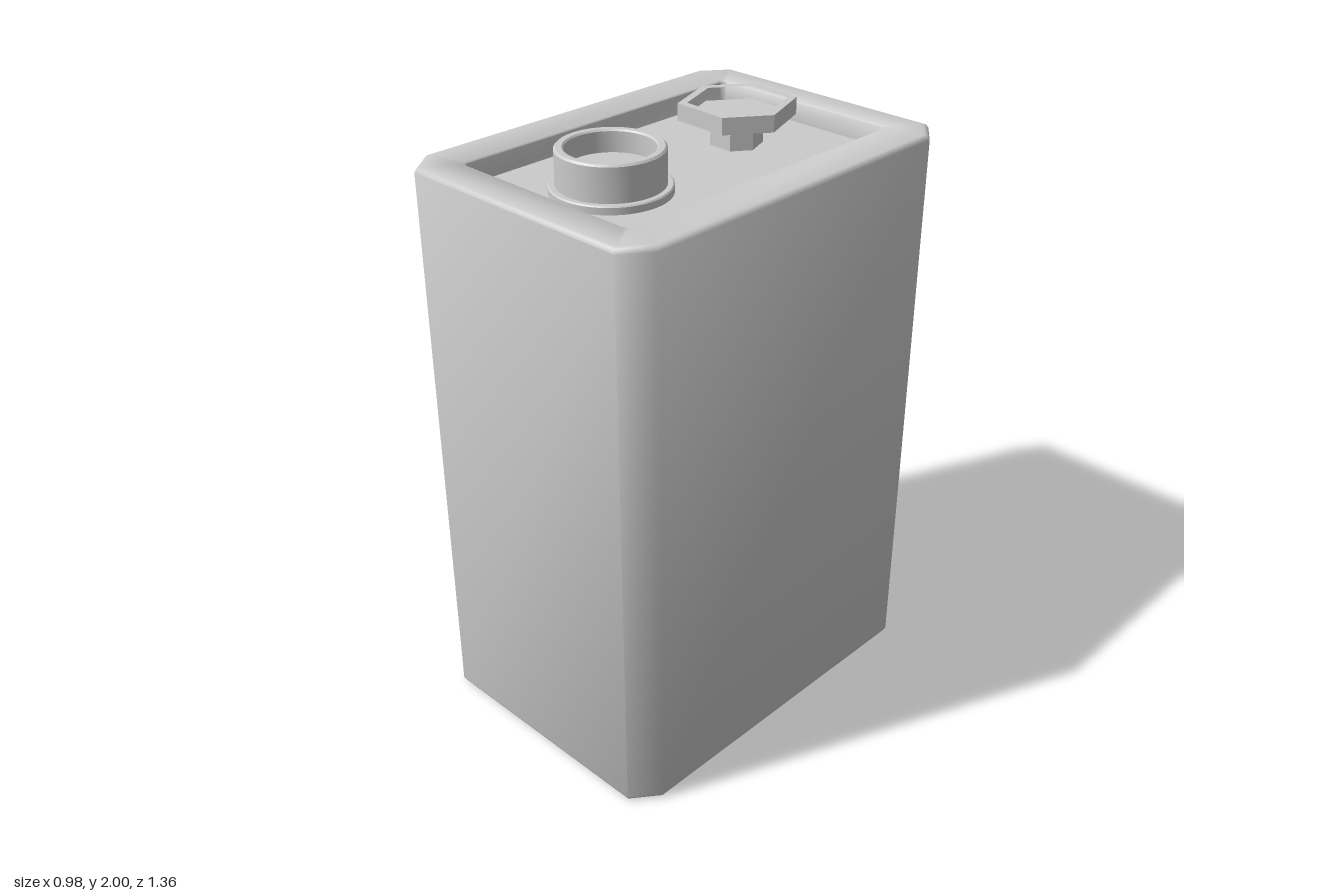
import * as THREE from 'three';
import { toCreasedNormals } from 'three/addons/utils/BufferGeometryUtils.js';

const material = new THREE.MeshStandardMaterial({ color: 0xcccccc });

function addMesh(parent, name, geometry, y = 0) {
  const mesh = new THREE.Mesh(geometry, material);
  mesh.name = name;
  mesh.position.y = y;
  parent.add(mesh);
  return mesh;
}

// Chamfered rectangle, counterclockwise seen from above
function ring(y, w, d, cx, cz) {
  return [
    [w, d - cz], [w, cz - d], [w - cx, -d], [cx - w, -d],
    [-w, cz - d], [-w, d - cz], [cx - w, d], [w - cx, d],
  ].map(([x, z]) => [x, y, z]);
}

// Skin between successive rings, closed at both ends
function loft(rings) {
  const n = rings[0].length, index = [];
  for (let r = 0; r < rings.length - 1; r++) {
    for (let i = 0; i < n; i++) {
      const a = r * n + i, b = r * n + (i + 1) % n;
      index.push(a, b, b + n, a, b + n, a + n);
    }
  }
  const last = (rings.length - 1) * n;
  for (let i = 1; i < n - 1; i++) {
    index.push(0, i + 1, i);
    index.push(last, last + i, last + i + 1);
  }
  const geometry = new THREE.BufferGeometry();
  geometry.setAttribute('position', new THREE.Float32BufferAttribute(rings.flat(2), 3));
  geometry.setIndex(index);
  return toCreasedNormals(geometry, 1.0);
}

// Horizontal plate from an outline of [x, z] points
function plate(points, height, hole) {
  const toVectors = (list) => list.map(([x, z]) => new THREE.Vector2(x, -z));
  const shape = new THREE.Shape(toVectors(points));
  if (hole) shape.holes.push(new THREE.Path(toVectors(hole)));
  const geometry = new THREE.ExtrudeGeometry(shape, { depth: height, bevelEnabled: false });
  return geometry.rotateX(-Math.PI / 2);
}

export function createModel() {
  const model = new THREE.Group();
  model.name = 'battery';
  const floorY = 1.86;

  // Case with softened edges and a recessed top
  addMesh(model, 'case', loft([
    ring(0, 0.475, 0.665, 0.065, 0.085),
    ring(0.004, 0.484, 0.674, 0.068, 0.088),
    ring(0.015, 0.49, 0.68, 0.07, 0.09),
    ring(1.915, 0.49, 0.68, 0.07, 0.09),
    ring(1.926, 0.484, 0.674, 0.068, 0.088),
    ring(1.93, 0.475, 0.665, 0.065, 0.085),
    ring(1.93, 0.35, 0.565, 0.015, 0.015),
    ring(1.925, 0.345, 0.56, 0.013, 0.013),
    ring(floorY, 0.345, 0.56, 0.013, 0.013),
  ]));

  // Round terminal: flange, collar and hollow cup
  const profile = [
    [0, 0], [0.185, 0], [0.185, 0.022], [0.181, 0.026], [0.165, 0.026],
    [0.165, 0.134], [0.159, 0.14], [0.14, 0.14], [0.135, 0.135], [0.135, 0.07], [0, 0.07],
  ].map(([r, y]) => new THREE.Vector2(r, y));
  const round = addMesh(model, 'roundTerminal',
    toCreasedNormals(new THREE.LatheGeometry(profile, 64), 0.6), floorY);
  round.position.x = -0.005;
  round.position.z = 0.287;

  // Hexagonal terminal: narrow stem, cup floor and rim
  const hex = new THREE.Group();
  hex.name = 'hexTerminal';
  hex.position.set(-0.02, 0, -0.272);
  const outline = [[-0.08, -0.163], [0.112, -0.153], [0.178, 0.03],
    [0.083, 0.16], [-0.112, 0.153], [-0.178, -0.03]];
  const scaled = (s) => outline.map(([x, z]) => [x * s, z * s]);
  addMesh(hex, 'hexStem', plate(scaled(0.45), 0.085), floorY);
  addMesh(hex, 'hexCupFloor', plate(scaled(0.9), 0.01), 1.9451);
  addMesh(hex, 'hexRim', plate(outline, 0.055, scaled(0.84)), 1.945);
  model.add(hex);

  return model;
}
